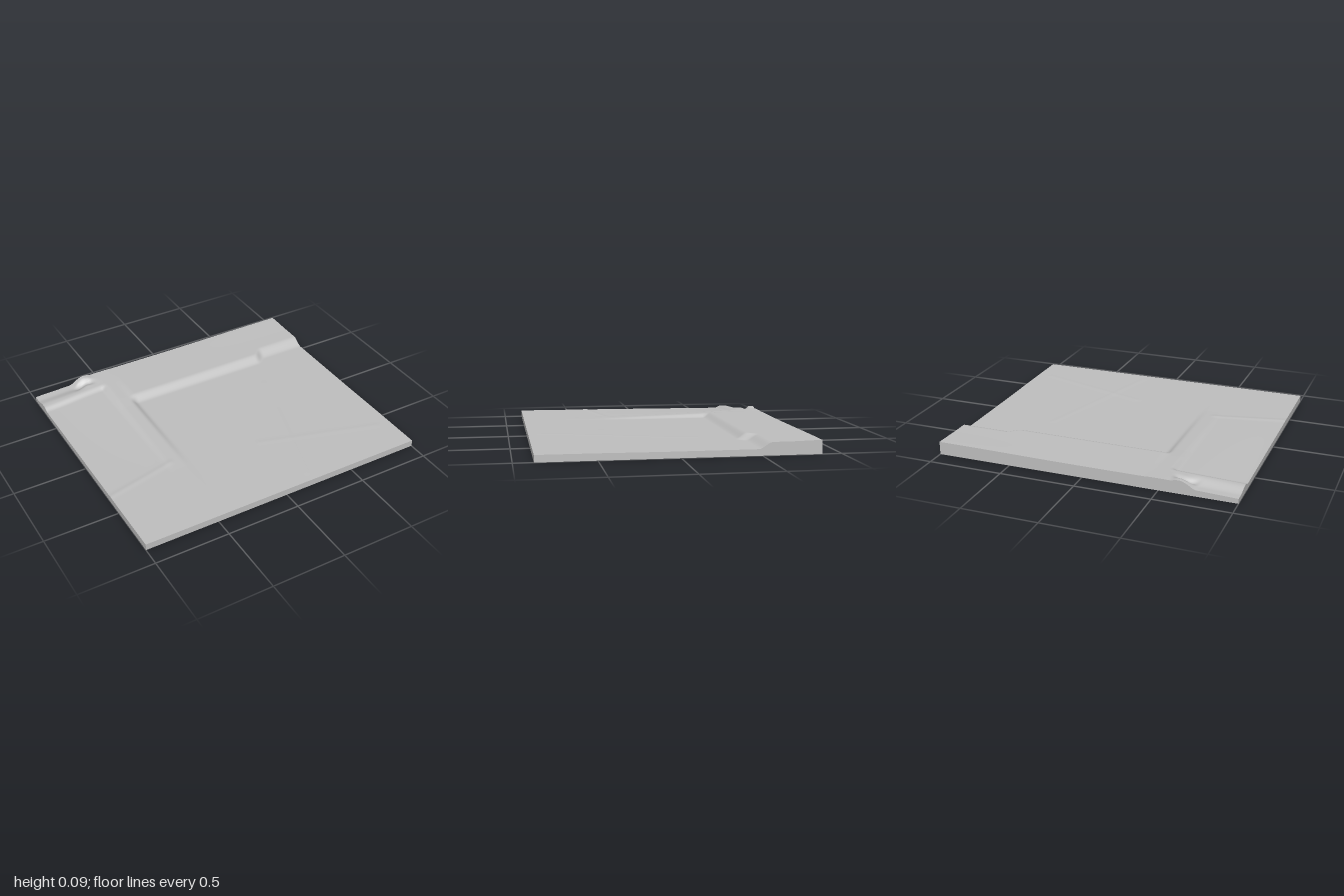
import * as THREE from 'three';

const { smoothstep, lerp, clamp } = THREE.MathUtils;
const WIDTH = 2, DEPTH = 1.75;

// Straight-line interpolation through [position, height] pairs
function profile(points, t) {
  if (t <= points[0][0]) return points[0][1];
  for (let i = 1; i < points.length; i++) {
    const [a, ha] = points[i - 1], [b, hb] = points[i];
    if (t <= b) return lerp(ha, hb, (t - a) / (b - a));
  }
  return points[points.length - 1][1];
}

// Soft low ridge along a line from (x0,z0) to (x1,z1)
function ridge(x, z, x0, z0, x1, z1, width, height) {
  const dx = x1 - x0, dz = z1 - z0;
  const t = clamp(((x - x0) * dx + (z - z0) * dz) / (dx * dx + dz * dz), 0, 1);
  const d = Math.hypot(x - x0 - t * dx, z - z0 - t * dz) / width;
  return height * Math.exp(-d * d);
}

// Lower basin, embankment and back plateau
function eastHeight(x, z) {
  const shift = smoothstep(x, 0.6, 0.68);
  const foot = lerp(-0.43, -0.475, shift), top = lerp(-0.505, -0.565, shift);
  const rise = smoothstep(-z, -foot, -top);
  const basin = profile([[-0.43, 0.041], [0.1, 0.041], [0.5, 0.044], [0.875, 0.045]], z);
  const plateau = 0.079 + 0.004 * smoothstep(x, -0.2, 1) + 0.004 * smoothstep(-z, 0.65, 0.875) * smoothstep(x, 0, 1);
  return lerp(basin, plateau, rise);
}

// Long ramp climbing to the plateau
const rampHeight = z =>
  profile([[-0.875, 0.081], [-0.7, 0.077], [-0.5, 0.07], [-0.4, 0.065], [0.0, 0.055], [0.35, 0.045], [0.875, 0.045]], z);

// Low ground on the left with its own short embankment
function westHeight(x, z) {
  const u = smoothstep(x, -1, -0.55);
  const low = lerp(profile([[-0.65, 0.034], [0.2, 0.041], [0.875, 0.045]], z),
    profile([[-0.65, 0.054], [0.3, 0.044], [0.875, 0.045]], z), u);
  const line = lerp(-0.685, -0.7, u);
  const crest = profile([[-1, 0.051], [-0.7, 0.068], [-0.55, 0.076]], x);
  const back = profile([[-1, 0.032], [-0.72, 0.042], [-0.64, 0.076], [-0.55, 0.08]], x);
  const behind = lerp(crest, back, smoothstep(-z, 0.73, 0.83));
  return lerp(low, behind, smoothstep(-z, -line - 0.022, -line + 0.022));
}

// Arched lip and hollow near the back edge
function outcrop(x, z) {
  const arch = -0.835 + 3.5 * (x + 0.65) ** 2;
  const span = smoothstep(x, -0.75, -0.67) * (1 - smoothstep(x, -0.62, -0.56));
  const lip = 0.014 * smoothstep(-z, -arch - 0.015, -arch + 0.012) * (1 - 0.5 * smoothstep(x, -0.64, -0.56));
  const hollow = 0.018 * Math.exp(-(((z - arch - 0.03) / 0.022) ** 2));
  return span * (lip - hollow);
}

function groundHeight(x, z) {
  const west = lerp(westHeight(x, z), rampHeight(z), smoothstep(x, -0.57, -0.52));
  const h = lerp(west, eastHeight(x, z), smoothstep(x, -0.45, -0.4));
  return Math.min(0.088, h + outcrop(x, z)
    + ridge(x, z, -1, 0.38, -0.52, 0.27, 0.02, 0.003)
    + ridge(x, z, 0.2, 0.8, 0.5, -0.2, 0.02, 0.0012)
    + ridge(x, z, 0.1, 0.38, 0.9, 0.62, 0.02, 0.0012));
}

export function createModel() {
  const group = new THREE.Group();
  group.name = 'terrain';
  const stone = new THREE.MeshStandardMaterial({ color: 0xc0c0c0 });
  stone.name = 'plain grey';

  // Solid slab whose upper face follows the ground
  const geometry = new THREE.BoxGeometry(WIDTH, 1, DEPTH, 160, 1, 160);
  const p = geometry.attributes.position;
  for (let i = 0; i < p.count; i++) {
    p.setY(i, p.getY(i) > 0 ? groundHeight(p.getX(i), p.getZ(i)) : 0);
  }
  geometry.computeVertexNormals();
  const slab = new THREE.Mesh(geometry, stone);
  slab.name = 'groundSlab';
  group.add(slab);
  return group;
}
